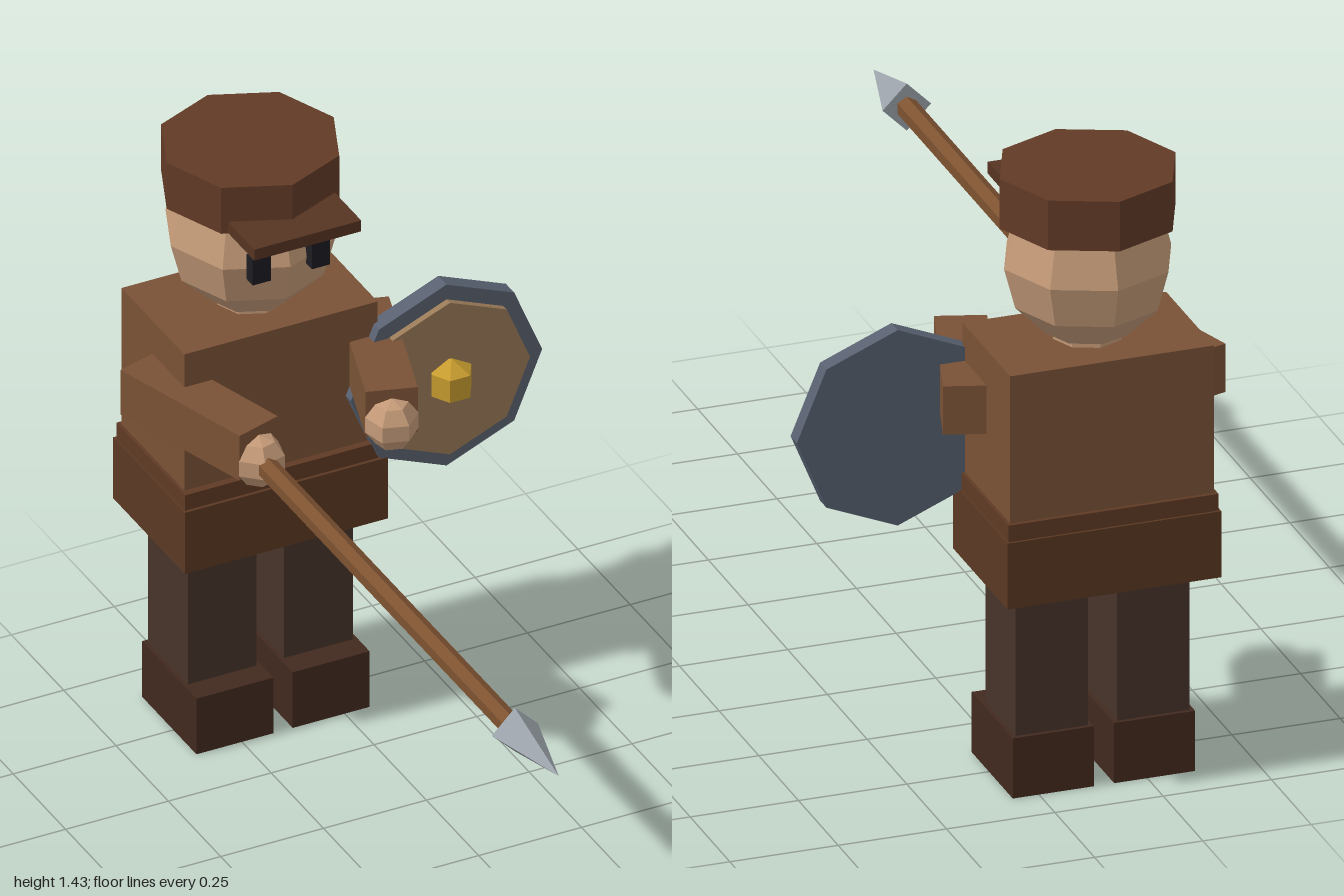
import * as THREE from 'three';

const CX = -0.15, CZ = -0.797; // axis of the figure

const mat = (color) => new THREE.MeshStandardMaterial({ color, flatShading: true });
const M = {
  skin: mat(0xc49a78), shirt: mat(0x7a5236), skirt: mat(0x5a3822), belt: mat(0x5e3a24),
  legs: mat(0x47332a), boots: mat(0x42291e), hat: mat(0x613a26), brim: mat(0x563421),
  eyes: mat(0x1c1c22), shaft: mat(0x7d5230), steel: mat(0x9aa1a8),
  rim: mat(0x596170), wood: mat(0x9a7a58), gold: mat(0xc79c2e),
};

function add(parent, name, geometry, material, x, y, z) {
  const mesh = new THREE.Mesh(geometry, material);
  mesh.name = name;
  mesh.position.set(x, y, z);
  parent.add(mesh);
  return mesh;
}

const box = (w, h, d) => new THREE.BoxGeometry(w, h, d);

// Prism or cone whose axis runs along z
const alongZ = (rTop, rBottom, length, sides) =>
  new THREE.CylinderGeometry(rTop, rBottom, length, sides).rotateX(Math.PI / 2);

export function createModel() {
  const model = new THREE.Group();
  model.name = 'spearman';

  // Clothed body
  add(model, 'torso', box(0.47, 0.39, 0.3), M.shirt, CX, 0.835, -0.8);
  add(model, 'belt', box(0.485, 0.05, 0.328), M.belt, CX, 0.655, -0.796);
  add(model, 'skirt', box(0.494, 0.157, 0.342), M.skirt, CX, 0.562, -0.795);

  // Head, neck and cap
  add(model, 'neck', new THREE.CylinderGeometry(0.08, 0.08, 0.08, 8), M.skin, CX, 1.05, CZ);
  add(model, 'head', new THREE.SphereGeometry(0.193, 8, 6), M.skin, CX, 1.213, CZ);
  add(model, 'cap', new THREE.CylinderGeometry(0.203, 0.203, 0.118, 8), M.hat, CX, 1.371, CZ);
  add(model, 'capBrim', box(0.26, 0.028, 0.13), M.brim, CX, 1.328, -0.587);

  // Paired parts
  for (const [side, s] of [['right', -1], ['left', 1]]) {
    add(model, side + 'Eye', box(0.044, 0.064, 0.03), M.eyes, CX + s * 0.072, 1.227, -0.615);
    add(model, side + 'Leg', box(0.167, 0.36, 0.19), M.legs, CX + s * 0.117, 0.32, -0.795);
    add(model, side + 'Boot', box(0.187, 0.143, 0.26), M.boots, CX + s * 0.117, 0.0715, -0.77);

    const arm = new THREE.Group();
    arm.name = side + 'Arm';
    arm.position.set(CX + s * 0.2165, 0.888, -0.615);
    arm.rotation.y = -s * 0.3;
    add(arm, side + 'Sleeve', box(0.115, 0.115, 0.37), M.shirt, 0, 0, 0);
    add(arm, side + 'Hand', new THREE.SphereGeometry(0.062, 6, 5), M.skin, 0, -0.027, 0.185);
    model.add(arm);
  }

  // Spear held level in the right hand
  const spear = new THREE.Group();
  spear.name = 'spear';
  spear.position.set(-0.314, 0.866, 0);
  add(spear, 'spearShaft', alongZ(0.025, 0.025, 1.3, 6), M.shaft, 0, 0, 0.15);
  add(spear, 'spearHead', alongZ(0, 0.056, 0.21, 4), M.steel, 0, 0, 0.895);
  model.add(spear);

  // Round shield on the left arm
  const shield = new THREE.Group();
  shield.name = 'shield';
  shield.position.set(0.24, 0.81, -0.645);
  add(shield, 'shieldRim', alongZ(0.2325, 0.2325, 0.04, 8), M.rim, 0, 0, 0);
  add(shield, 'shieldFace', alongZ(0.195, 0.195, 0.03, 8), M.wood, 0, 0, 0.021);
  add(shield, 'shieldBoss', new THREE.SphereGeometry(0.056, 6, 3), M.gold, 0, 0, 0.043);
  model.add(shield);

  return model;
}
